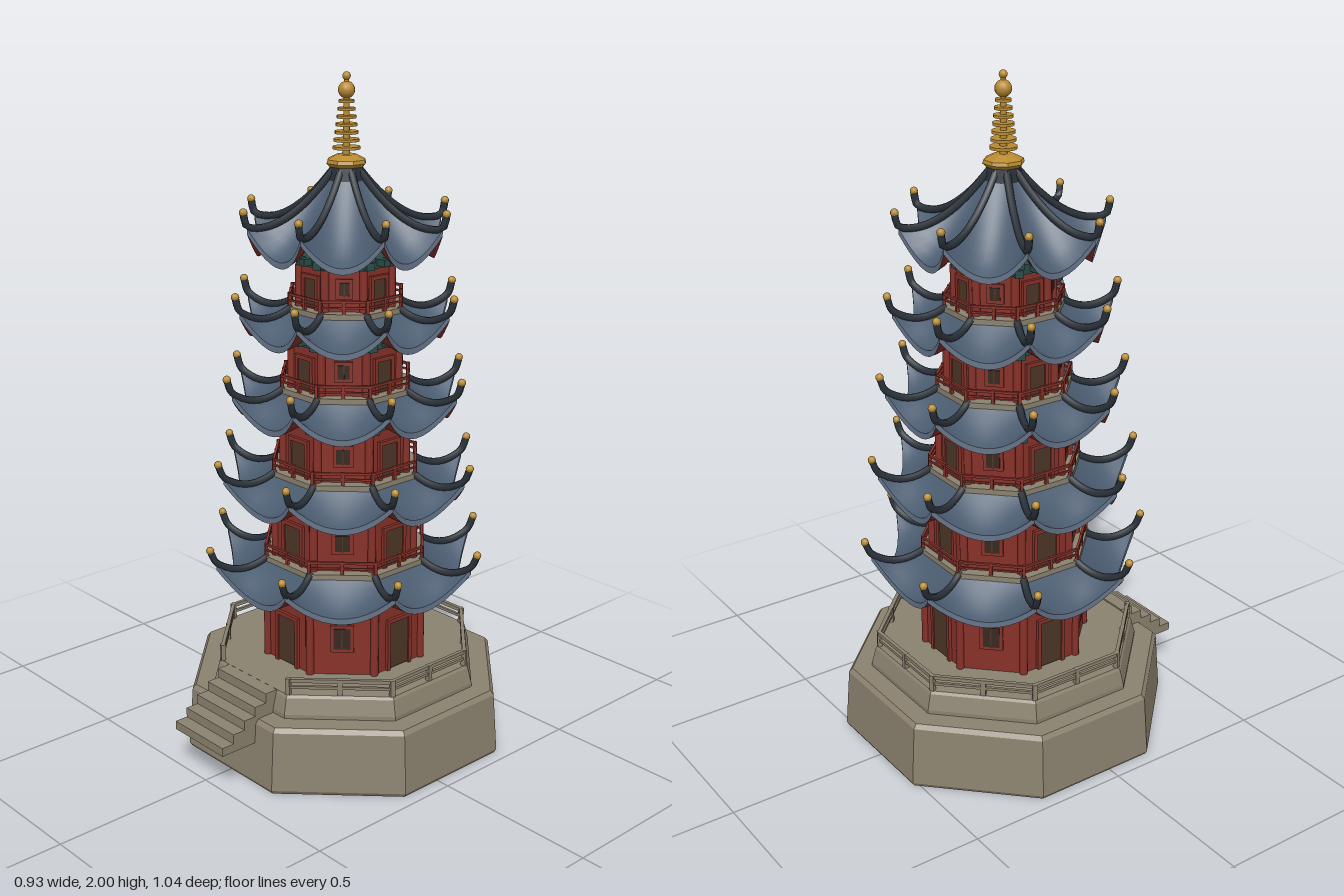
import * as THREE from 'three';

const mat = (name, color) => Object.assign(new THREE.MeshStandardMaterial({ color }), { name });
const stone = mat('stone', 0x8b826f);
const red = mat('red lacquer', 0x873129);
const tile = mat('blue roof tile', 0x4b5c70);
const trim = mat('eave trim', 0x66758a);
const ridgeDark = mat('dark ridge', 0x2a3139);
const gold = mat('gold', 0xb88a30);
const teal = mat('teal beam', 0x2a4c48);
const wood = mat('dark wood', 0x4c3626);
const lattice = mat('window lattice', 0x382820);

const EIGHTH = Math.PI / 4, TAN = Math.tan(Math.PI / 8), COS = Math.cos(Math.PI / 8);
const lerp = THREE.MathUtils.lerp;

function add(parent, name, geo, material, x = 0, y = 0, z = 0) {
  const m = new THREE.Mesh(geo, material);
  m.name = name;
  m.position.set(x, y, z);
  parent.add(m);
  return m;
}
const box = (w, h, d) => new THREE.BoxGeometry(w, h, d);

// Octagonal solid with crisp faces, from [apothem, y] pairs running upwards
function octagon(profile) {
  const pts = profile.map(([a, y]) => new THREE.Vector2(a / COS, y));
  const g = new THREE.LatheGeometry(pts, 8, Math.PI / 8).toNonIndexed();
  g.computeVertexNormals();
  return g;
}
const slab = (a, y0, y1) => octagon([[0, y0], [a, y0], [a, y1], [0, y1]]);

// Run a builder once for each of the eight sides (offset 0.5 gives the corners)
function around(parent, name, build, offset = 0) {
  for (let k = 0; k < 8; k++) {
    const g = new THREE.Group();
    g.name = name;
    g.rotation.y = (k + offset) * EIGHTH;
    build(g, k);
    parent.add(g);
  }
}

// Grid surface through fn(u, v), u in -1..1 and v in 0..1
function surface(fn, nu, nv) {
  const pos = [], idx = [];
  for (let j = 0; j <= nv; j++)
    for (let i = 0; i <= nu; i++) pos.push(...fn((2 * i) / nu - 1, j / nv));
  for (let j = 0; j < nv; j++)
    for (let i = 0; i < nu; i++) {
      const a = j * (nu + 1) + i, b = a + nu + 1;
      idx.push(a, b, a + 1, b, b + 1, a + 1);
    }
  const g = new THREE.BufferGeometry();
  g.setAttribute('position', new THREE.Float32BufferAttribute(pos, 3));
  g.setIndex(idx);
  g.computeVertexNormals();
  return g;
}

// Octagonal railing with corner and middle posts
function railing(parent, name, a, y, h, t, material, openFront) {
  const len = 2 * a * TAN;
  around(parent, name, (g, k) => {
    if (openFront && k === 0) return;
    add(g, 'topRail', box(len, t * 0.8, t * 0.8), material, 0, y + h * 0.88, a);
    add(g, 'lowerRail', box(len, t * 0.6, t * 0.6), material, 0, y + h * 0.45, a);
    add(g, 'middlePost', box(t, h, t), material, 0, y + h / 2, a);
  });
  around(parent, name + 'Corner', g =>
    add(g, 'cornerPost', box(t, h, t), material, 0, y + h / 2, a / COS), 0.5);
}

// Swept eight-sided roof: inner apothem, top height, tip apothem, tip height, eave height
function roof(parent, inner, top, tip, tipY, eaveY) {
  const mid = tip * 0.865, corner = tip * 0.94, lift = tipY - 0.055 - eaveY, thick = 0.018;
  const height = (u, v) =>
    top - (top - eaveY - thick) * (1 - (1 - v) ** 1.4) + (lift - thick) * u * u * v * v;
  const point = (u, v, drop = 0) => [
    lerp(inner, corner, v) * TAN * u,
    height(u, v) - drop,
    lerp(inner, lerp(mid, corner, u * u), v)];
  const cover = surface((u, v) => point(u, v), 12, 8);
  const fascia = surface((u, v) => point(u, 1, v * thick), 12, 1);
  const soffit = surface((u, v) => point(u, 1 - v, thick), 12, 8);
  around(parent, 'roofSide', g => {
    add(g, 'roofTiles', cover, tile);
    add(g, 'eaveEdge', fascia, trim);
    add(g, 'soffit', soffit, red);
  });
  // Corner ridges curling up to gold finials
  const path = [];
  for (let i = 0; i <= 5; i++)
    path.push(new THREE.Vector3(0, height(1, i / 5) + 0.006, lerp(inner, corner, i / 5) / COS));
  path.push(new THREE.Vector3(0, tipY - 0.012, (tip - 0.008) / COS));
  const tube = new THREE.TubeGeometry(new THREE.CatmullRomCurve3(path), 20, 0.011, 6);
  const ball = new THREE.SphereGeometry(0.012, 10, 8);
  around(parent, 'roofCorner', g => {
    add(g, 'ridge', tube, ridgeDark);
    add(g, 'ridgeFinial', ball, gold, 0, tipY - 0.01, (tip - 0.008) / COS);
  }, 0.5);
}

// One storey: walls, columns, openings, beam and brackets
function storey(parent, a, y0, y1) {
  const h = y1 - y0, w = 2 * a * TAN, beam = 0.028;
  add(parent, 'walls', slab(a - 0.008, y0, y1 - beam), red);
  add(parent, 'beam', slab(a, y1 - beam, y1), teal);
  around(parent, 'wallSide', (g, k) => {
    const z = a - 0.008;
    if (k % 2 === 0) {
      const dw = w * 0.38, dh = h * 0.56;
      add(g, 'door', box(dw, dh, 0.008), wood, 0, y0 + dh / 2 + 0.005, z + 0.002);
      for (const s of [-1, 1])
        add(g, 'doorJamb', box(0.012, dh + 0.015, 0.014), red, s * (dw / 2 + 0.006), y0 + dh / 2 + 0.007, z + 0.003);
      add(g, 'doorLintel', box(dw + 0.024, 0.012, 0.014), red, 0, y0 + dh + 0.011, z + 0.003);
    } else {
      const ww = w * 0.25, wh = h * 0.25, y = y0 + h * 0.45;
      add(g, 'windowFrame', box(ww + 0.02, wh + 0.02, 0.012), red, 0, y, z + 0.002);
      add(g, 'window', box(ww, wh, 0.008), lattice, 0, y, z + 0.006);
      add(g, 'windowBar', box(0.004, wh, 0.006), wood, 0, y, z + 0.009);
    }
    add(g, 'middleBracket', box(0.022, 0.02, 0.04), teal, 0, y1 - 0.01, a + 0.01);
  });
  const column = new THREE.CylinderGeometry(0.012, 0.012, h - beam, 10);
  around(parent, 'wallCorner', g => {
    add(g, 'column', column, red, 0, y0 + (h - beam) / 2, (a - 0.008) / COS);
    add(g, 'cornerBracket', box(0.024, 0.022, 0.06), teal, 0, y1 - 0.008, a / COS + 0.015);
    add(g, 'bracketBlock', box(0.034, 0.016, 0.022), teal, 0, y1 + 0.01, a / COS + 0.028);
  }, 0.5);
}

export function createModel() {
  const model = new THREE.Group();
  model.name = 'pagoda';
  const tower = new THREE.Group();
  tower.name = 'tower';
  tower.position.z = -0.055;
  model.add(tower);

  // Stone base, terrace and balustrade
  add(tower, 'base', octagon([[0, 0], [0.458, 0], [0.465, 0.012], [0.452, 0.19], [0.442, 0.203], [0, 0.203]]), stone);
  add(tower, 'terrace', octagon([[0, 0.2], [0.386, 0.2], [0.386, 0.215], [0.374, 0.262], [0.368, 0.27], [0, 0.27]]), stone);
  railing(tower, 'balustrade', 0.362, 0.27, 0.05, 0.014, stone, true);

  // Front stairs
  for (let i = 0; i < 5; i++) {
    const top = 0.272 - 0.029 * i;
    add(model, 'step', box(0.22, top - 0.13, 0.042), stone, 0, (top + 0.13) / 2, 0.337 + 0.0405 * i);
  }

  // Storeys: [wall apothem, floor y, wall top y, tip apothem, tip y, eave y]
  const tiers = [
    [0.238, 0.27, 0.53, 0.4, 0.638, 0.483],
    [0.213, 0.59, 0.785, 0.372, 0.902, 0.747],
    [0.188, 0.855, 1.032, 0.343, 1.156, 1.002],
    [0.163, 1.107, 1.267, 0.316, 1.395, 1.243],
    [0.14, 1.347, 1.495, 0.29, 1.634, 1.478],
  ];
  tiers.forEach(([a, y0, y1, tip, tipY, eaveY], i) => {
    const g = new THREE.Group();
    g.name = 'storey' + (i + 1);
    tower.add(g);
    storey(g, a, y0, y1);
    const next = tiers[i + 1];
    if (next) {
      // Balcony floor and rail of the storey above
      const edge = next[0] + 0.024;
      roof(g, edge - 0.012, next[1] - 0.008, tip, tipY, eaveY);
      add(g, 'balconyFloor', slab(edge, next[1] - 0.016, next[1]), stone);
      railing(g, 'balconyRail', edge - 0.005, next[1], 0.04, 0.009, red, false);
    } else roof(g, 0.035, 1.725, tip, tipY, eaveY);
  });

  // Spire
  const spire = new THREE.Group();
  spire.name = 'spire';
  tower.add(spire);
  add(spire, 'roofCap', octagon([[0, 1.7], [0.052, 1.7], [0.045, 1.742], [0, 1.742]]), ridgeDark);
  add(spire, 'spireBase', octagon([[0, 1.738], [0.046, 1.738], [0.055, 1.748], [0.052, 1.758], [0.026, 1.772], [0, 1.772]]), gold);
  add(spire, 'mast', new THREE.CylinderGeometry(0.007, 0.011, 0.22, 10), gold, 0, 1.87, 0);
  for (let i = 0; i < 7; i++) {
    const r = 0.039 - 0.0028 * i;
    add(spire, 'spireRing', new THREE.CylinderGeometry(r, r, 0.008, 16), gold, 0, 1.79 + 0.0215 * i, 0);
  }
  add(spire, 'jewel', new THREE.SphereGeometry(0.024, 14, 10), gold, 0, 1.95, 0);
  add(spire, 'tipJewel', new THREE.SphereGeometry(0.012, 12, 8), gold, 0, 1.988, 0);
  return model;
}
